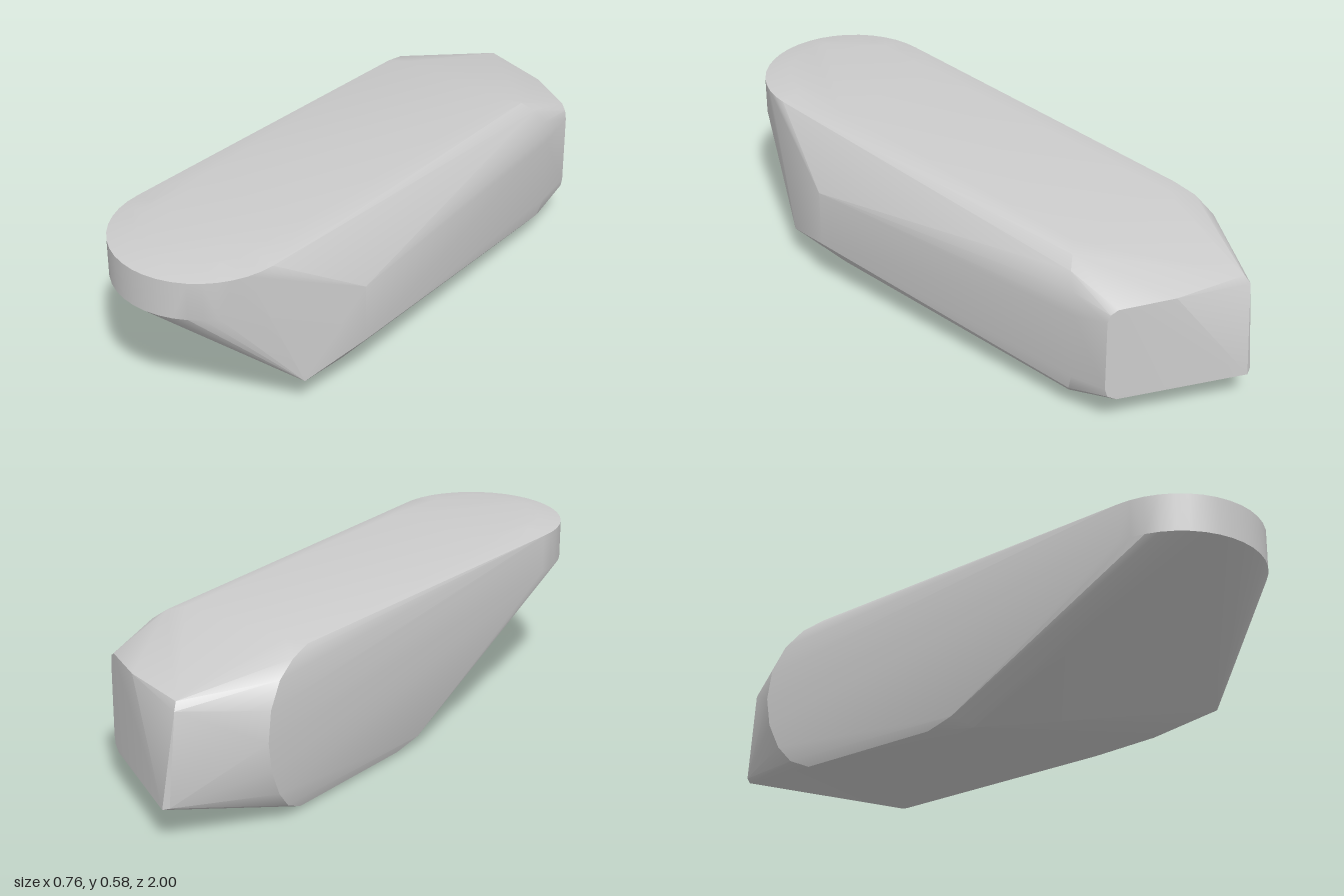
import * as THREE from 'three';
import { ConvexGeometry } from 'three/addons/geometries/ConvexGeometry.js';
import { toCreasedNormals } from 'three/addons/utils/BufferGeometryUtils.js';

export function createModel() {
  const group = new THREE.Group();
  const pts = [];
  const add = (...list) => list.forEach((p) => pts.push(new THREE.Vector3(...p)));

  // Half-round nose: upright rim with a shallow chamfer on top
  const arc = (radius, y, cz, n) => {
    for (let i = 0; i <= n; i++) {
      const a = (i / n) * Math.PI;
      add([-0.01 + radius * Math.cos(a), y, cz + radius * Math.sin(a)]);
    }
  };
  arc(0.295, 0.565, 0.705, 20);
  arc(0.215, 0.58, 0.705, 12);
  add([-0.225, 0.58, 0.5], [0.2, 0.58, 0.5]);
  for (let i = 4; i <= 20; i++) {
    const a = (i / 20) * Math.PI;
    add([-0.01 + 0.295 * Math.cos(a), 0.435, 0.705 + 0.295 * Math.sin(a)]);
  }

  // Bulging side with its pointed lower corner
  add([0.38, 0.38, 0.4], [0.38, 0.18, 0.4], [0.325, 0.112, 0.62]);

  // Rounded shoulder where the body begins to taper to the tail
  add(
    [-0.345, 0.545, -0.52], [-0.28, 0.552, -0.55], [0.14, 0.552, -0.56],
    [0.185, 0.54, -0.6], [0.22, 0.51, -0.63], [0.24, 0.46, -0.66], [0.247, 0.38, -0.67],
    [0.247, 0.15, -0.67], [0.237, 0.09, -0.65], [0.205, 0.05, -0.62], [0.14, 0.018, -0.58]
  );

  // Flat side: rounded rear outline and lower front corner
  add(
    [-0.36, 0.525, -0.6], [-0.372, 0.48, -0.67], [-0.382, 0.4, -0.72], [-0.385, 0.3, -0.735],
    [-0.382, 0.2, -0.72], [-0.374, 0.11, -0.68], [-0.362, 0.05, -0.63], [-0.345, 0.016, -0.56],
    [-0.312, 0.04, 0.04], [-0.31, 0.016, -0.06]
  );

  // Gently sloping belly
  add(
    [-0.25, 0.0, -0.1], [-0.25, 0.0, -0.45], [-0.25, 0.01, 0.08], [0.0, 0.008, -0.1],
    [0.0, 0.008, -0.5], [0.17, 0.02, 0.0], [0.23, 0.035, 0.2], [0.28, 0.062, 0.4]
  );

  // Slanted tail face with rounded corners on one side
  add(
    [0.23, 0.41, -0.8], [0.222, 0.438, -0.804], [0.2, 0.453, -0.815],
    [0.03, 0.457, -0.893], [-0.215, 0.455, -0.945], [-0.225, 0.43, -0.962],
    [0.23, 0.165, -0.8], [0.222, 0.135, -0.804], [0.195, 0.118, -0.816],
    [-0.2, 0.117, -1], [-0.222, 0.125, -0.99]
  );

  const body = new THREE.Mesh(
    toCreasedNormals(new ConvexGeometry(pts), 0.5),
    new THREE.MeshStandardMaterial({ color: 0xcccccc })
  );
  body.name = 'body';
  group.add(body);
  return group;
}
